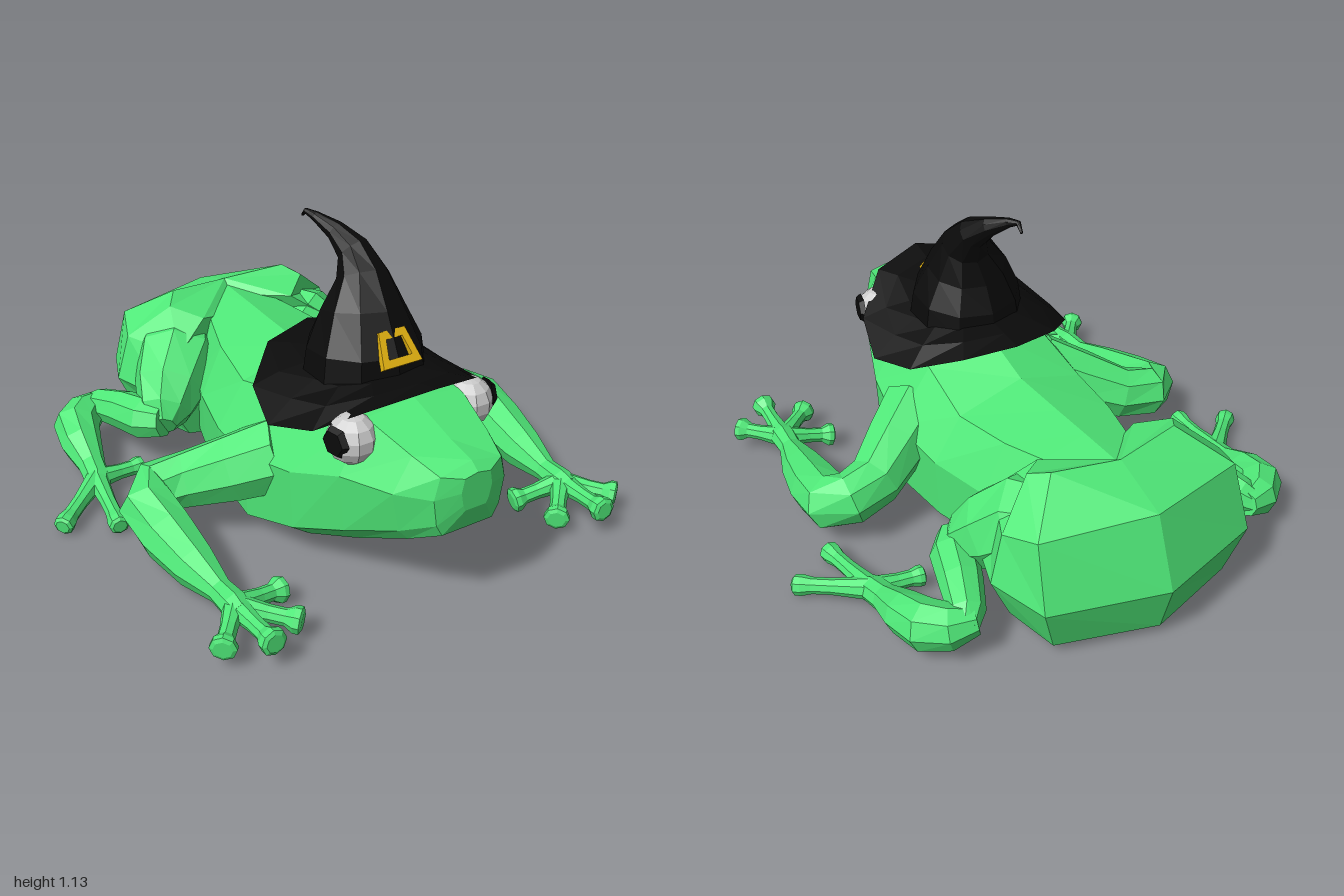
import * as THREE from 'three';
import { mergeGeometries } from 'three/addons/utils/BufferGeometryUtils.js';

const V = (x, y, z) => new THREE.Vector3(x, y, z);
const mat = (color, side = THREE.FrontSide) =>
  new THREE.MeshStandardMaterial({ color, flatShading: true, side });

// Skin between closed rings of equal length, with flat end caps
function loft(rings) {
  const n = rings[0].length, pos = [], idx = [];
  rings.forEach(r => r.forEach(p => pos.push(p.x, p.y, p.z)));
  for (let k = 0; k < rings.length - 1; k++) {
    for (let i = 0; i < n; i++) {
      const a = k * n + i, b = k * n + (i + 1) % n;
      idx.push(a, b, a + n, b, b + n, a + n);
    }
  }
  const last = (rings.length - 1) * n;
  for (let i = 1; i < n - 1; i++) {
    idx.push(0, i + 1, i, last, last + i, last + i + 1);
  }
  const g = new THREE.BufferGeometry();
  g.setAttribute('position', new THREE.Float32BufferAttribute(pos, 3));
  g.setIndex(idx);
  g.computeVertexNormals();
  return g;
}

// Ring from a half outline whose first and last points lie on x = 0
function mirrorRing(half) {
  const inner = half.slice(1, -1);
  return [half[0], ...inner.map(p => V(-p.x, p.y, p.z)), half[half.length - 1], ...inner.reverse()];
}

// Limb along points [x, y, z, radius]; s = -1 mirrors it
function limb(points, s = 1, sides = 8, ref = V(0, 1, 0)) {
  const c = points.map(p => V(p[0] * s, p[1], p[2]));
  return loft(c.map((p, i) => {
    const t = c[Math.min(i + 1, c.length - 1)].clone().sub(c[Math.max(i - 1, 0)]).normalize();
    const u = ref.clone().cross(t).normalize(), v = t.clone().cross(u);
    return Array.from({ length: sides }, (_, k) => {
      const a = (k / sides) * Math.PI * 2, r = points[i][3];
      return p.clone().addScaledVector(u, Math.cos(a) * r).addScaledVector(v, Math.sin(a) * r);
    });
  }));
}

// Toe that narrows, then widens into a rounded pad
function toe(from, to, s, pad) {
  const at = (t, r) => [0, 1, 2].map(i => from[i] + (to[i] - from[i]) * t).concat(r);
  return limb([at(0, 0.042), at(0.5, 0.03), at(0.75, 0.03), at(0.88, pad), at(0.97, pad), at(1, pad * 0.7)], s);
}

export function createModel() {
  const group = new THREE.Group();
  const green = mat(0x4fe878), black = mat(0x0a0a0a), blackThin = mat(0x0a0a0a, THREE.DoubleSide);
  const add = (name, geometry, material) => {
    const m = new THREE.Mesh(geometry, material);
    m.name = name;
    group.add(m);
    return m;
  };

  // Head and torso: z, top, three half-width corners, flat bottom
  const sections = [
    [-0.7, 0.56, 0.08, 0.54, 0.2, 0.3, 0.2, 0.08, 0.04],
    [-0.47, 0.555, 0.17, 0.51, 0.25, 0.3, 0.25, 0.07, 0.025],
    [-0.3, 0.55, 0.22, 0.49, 0.31, 0.3, 0.3, 0.07, 0.015],
    [-0.05, 0.545, 0.26, 0.47, 0.37, 0.3, 0.36, 0.06, 0.01],
    [0.2, 0.62, 0.25, 0.54, 0.4, 0.33, 0.39, 0.07, 0.02],
    [0.45, 0.67, 0.2, 0.63, 0.36, 0.38, 0.35, 0.15, 0.1],
    [0.65, 0.66, 0.19, 0.64, 0.29, 0.45, 0.27, 0.23, 0.18],
    [0.85, 0.605, 0.15, 0.59, 0.22, 0.47, 0.19, 0.32, 0.275],
    [0.96, 0.585, 0.12, 0.56, 0.14, 0.48, 0.125, 0.38, 0.335],
    [0.995, 0.56, 0.05, 0.55, 0.06, 0.5, 0.05, 0.45, 0.43],
  ];
  add('body', loft(sections.map(([z, t, a, b, c, d, e, f, bot]) => mirrorRing(
    [V(0, t, z), V(a, b, z), V(c, d, z), V(e, f, z), V(e * 0.8, bot, z), V(0, bot, z)]))), green);

  // Hindquarters, stacked outlines from belly to back
  const hips = [
    [[0, 0.05, -0.95], [0.36, 0.05, -0.84], [0.42, 0.08, -0.66], [0.3, 0.05, -0.45], [0, 0.04, -0.38]],
    [[0, 0.24, -1], [0.42, 0.24, -0.88], [0.5, 0.26, -0.67], [0.42, 0.26, -0.42], [0, 0.28, -0.38]],
    [[0, 0.5, -0.9], [0.4, 0.48, -0.8], [0.45, 0.44, -0.66], [0.34, 0.43, -0.42], [0, 0.48, -0.55]],
    [[0, 0.58, -0.68], [0.25, 0.6, -0.64], [0.3, 0.57, -0.57], [0.2, 0.53, -0.48], [0, 0.53, -0.62]],
  ];
  add('hindquarters', loft(hips.map(r => mirrorRing(r.map(p => V(...p))))), green);

  for (const [side, s] of [['left', 1], ['right', -1]]) {
    // Front leg and hand
    add(side + 'FrontLeg', limb([
      [0.28, 0.33, 0.26, 0.14], [0.42, 0.27, 0.17, 0.125], [0.56, 0.215, 0.075, 0.105], [0.67, 0.2, 0.045, 0.1],
      [0.73, 0.17, 0.1, 0.105], [0.725, 0.135, 0.25, 0.1], [0.71, 0.11, 0.42, 0.08],
      [0.695, 0.1, 0.57, 0.045], [0.69, 0.1, 0.66, 0.05], [0.69, 0.1, 0.71, 0.04],
    ], s), green);
    const fingers = [[0.49, 0.06, 0.62], [0.53, 0.08, 0.82], [0.68, 0.115, 0.905], [0.82, 0.09, 0.82]];
    add(side + 'FrontToes', mergeGeometries(
      fingers.map(f => toe([0.69, 0.1, 0.66], f, s, 0.046))), green);

    // Thigh folded forward to the knee
    add(side + 'Thigh', limb([
      [0.22, 0.38, -0.66, 0.14], [0.29, 0.35, -0.54, 0.17], [0.37, 0.28, -0.455, 0.145],
      [0.43, 0.22, -0.39, 0.105], [0.46, 0.19, -0.34, 0.05],
    ], s), green);
    // Shin running back to the heel, then the foot running forward
    add(side + 'Shin', limb([
      [0.45, 0.21, -0.35, 0.07], [0.5, 0.2, -0.42, 0.085], [0.54, 0.19, -0.54, 0.078],
      [0.585, 0.17, -0.66, 0.065], [0.62, 0.15, -0.71, 0.045],
    ], s), green);
    add(side + 'HindFoot', limb([
      [0.57, 0.16, -0.7, 0.05], [0.65, 0.145, -0.67, 0.08], [0.715, 0.135, -0.61, 0.09],
      [0.74, 0.115, -0.5, 0.078], [0.75, 0.085, -0.38, 0.052], [0.76, 0.07, -0.3, 0.05], [0.78, 0.06, -0.25, 0.04],
    ], s), green);
    const toes = [[0.57, 0.06, -0.32], [0.8, 0.045, -0.005], [0.98, 0.045, -0.11]];
    add(side + 'HindToes', mergeGeometries(
      toes.map(t => toe([0.765, 0.075, -0.3], t, s, 0.038))), green);

    // Eye tucked under the brim, with a dark pupil facing outward
    const eye = new THREE.SphereGeometry(0.088, 10, 7);
    eye.translate(0.235 * s, 0.575, 0.64);
    add(side + 'Eye', eye, mat(0xcccccc));
    const pupil = new THREE.CylinderGeometry(0.045, 0.058, 0.02, 6);
    pupil.rotateZ(-Math.PI / 2 * s);
    pupil.rotateY(-0.2 * s);
    pupil.translate(0.312 * s, 0.588, 0.655);
    add(side + 'Pupil', pupil, black);
  }

  // Hat brim: raised in front, drooping at the sides
  const brim = new THREE.RingGeometry(0.12, 0.395, 12, 3);
  brim.rotateX(-Math.PI / 2);
  const p = brim.attributes.position;
  for (let i = 0; i < p.count; i++) {
    const x = Math.abs(p.getX(i)) / 0.395, z = p.getZ(i) / 0.395;
    p.setY(i, 0.69 + (z > 0 ? 0.055 : -0.02) * z * z - 0.155 * x ** 2.5);
  }
  brim.translate(0, 0, 0.37);
  brim.computeVertexNormals();
  add('hatBrim', brim, blackThin);

  // Bent pointed crown
  add('hatCrown', limb([
    [0, 0.64, 0.355, 0.22], [0, 0.74, 0.352, 0.205], [0.005, 0.86, 0.332, 0.15], [0.025, 0.96, 0.295, 0.092],
    [0.025, 1.03, 0.235, 0.06], [0, 1.08, 0.16, 0.036], [-0.035, 1.115, 0.09, 0.018],
    [-0.05, 1.125, 0.05, 0.01], [-0.045, 1.1, 0.02, 0.005],
  ], 1, 10, V(1, 0, 0)), black);

  // Brown lining under the brim
  const lining = new THREE.CylinderGeometry(0.19, 0.19, 0.07, 12);
  lining.translate(0, 0.655, 0.37);
  add('hatLining', lining, mat(0x4a2412));

  // Trapezoid buckle frame leaning against the crown
  const trapezoid = (wBottom, wTop, h) =>
    [[-wBottom, -h], [wBottom, -h], [wTop, h], [-wTop, h]].map(q => new THREE.Vector2(...q));
  const frame = new THREE.Shape(trapezoid(0.077, 0.052, 0.062));
  frame.holes.push(new THREE.Path(trapezoid(0.046, 0.032, 0.034).reverse()));
  const buckle = add('hatBuckle',
    new THREE.ExtrudeGeometry(frame, { depth: 0.025, bevelEnabled: false }), mat(0xe0b010));
  buckle.position.set(0.005, 0.78, 0.52);
  buckle.rotation.x = -0.65;

  return group;
}
